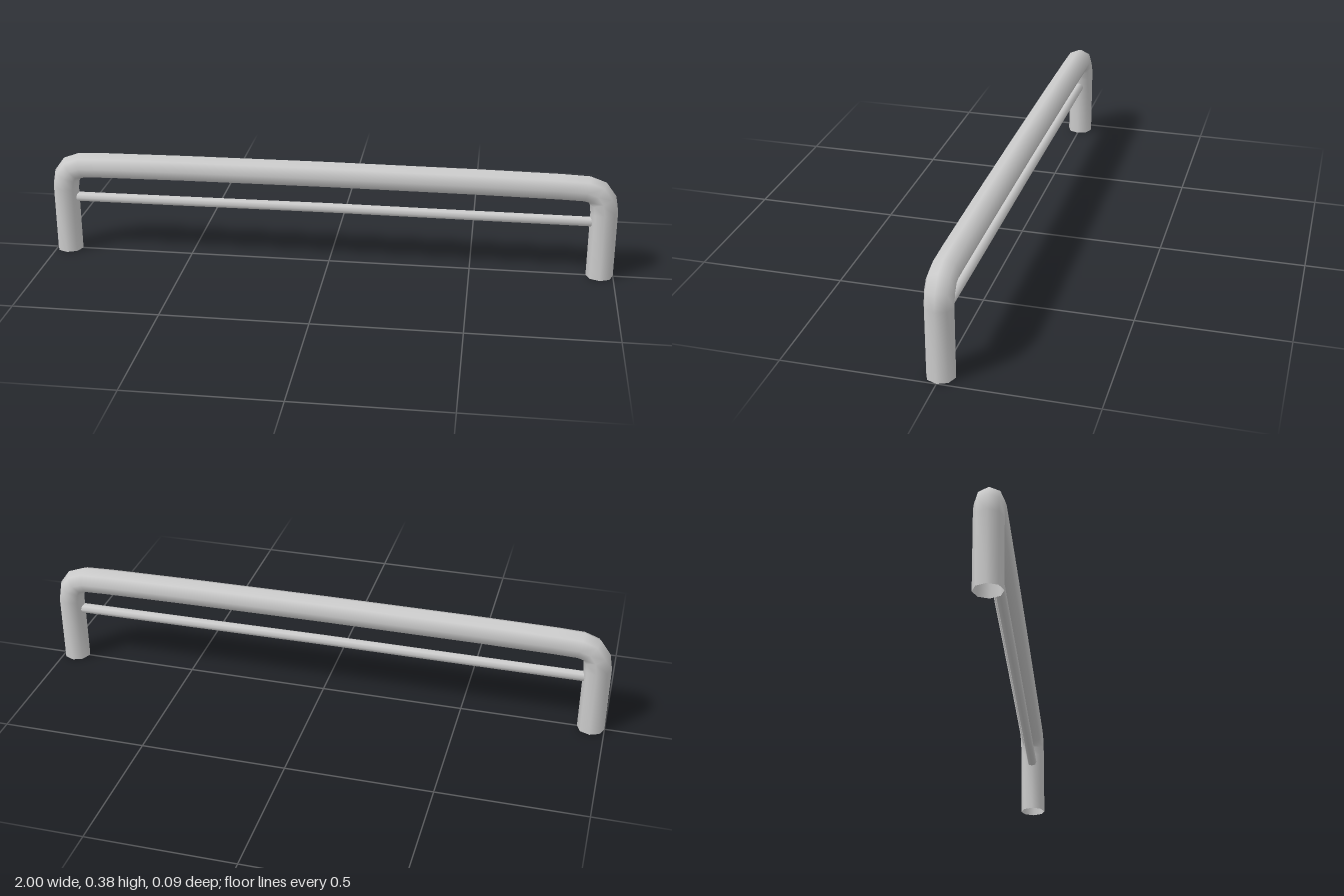
import * as THREE from 'three';

const material = new THREE.MeshStandardMaterial({ color: 0xcccccc, side: THREE.DoubleSide });
const SIDES = 8;

// Sweep an octagonal section along a path lying in the xy plane, open at both ends
function sweep(path, radius) {
  const positions = [], index = [];
  path.forEach((p, i) => {
    const dirIn = p.clone().sub(path[Math.max(i - 1, 0)]).normalize();
    const dirOut = path[Math.min(i + 1, path.length - 1)].clone().sub(p).normalize();
    const t = dirIn.add(dirOut).normalize();
    for (let j = 0; j < SIDES; j++) {
      const a = (j / SIDES) * Math.PI * 2;
      const r = radius * Math.cos(a);
      positions.push(p.x - t.y * r, p.y + t.x * r, radius * Math.sin(a));
      if (i < path.length - 1) {
        const k = (j + 1) % SIDES, row = i * SIDES, next = row + SIDES;
        index.push(row + j, row + k, next + j, row + k, next + k, next + j);
      }
    }
  });
  const geometry = new THREE.BufferGeometry();
  geometry.setAttribute('position', new THREE.Float32BufferAttribute(positions, 3));
  geometry.setIndex(index);
  geometry.computeVertexNormals();
  return geometry;
}

// Mirror the left half of a path (ending at x = 0) to run from right to left
function mirroredPath(half) {
  const left = half.map(([x, y]) => new THREE.Vector2(x, y));
  const right = left.slice(0, -1).map((p) => new THREE.Vector2(-p.x, p.y));
  return [...right, ...left.reverse()];
}

function addPart(group, name, half, radius) {
  const mesh = new THREE.Mesh(sweep(mirroredPath(half), radius), material);
  mesh.name = name;
  group.add(mesh);
}

export function createModel() {
  const model = new THREE.Group();
  model.name = 'railing';

  // Legs, tight bends and slightly bowed top bar in one continuous tube
  addPart(model, 'mainTube', [
    [0.953, 0], [0.953, 0.24], [0.946, 0.282], [0.926, 0.31], [0.89, 0.322],
    [0.8, 0.325], [0.52, 0.328], [0, 0.33],
  ], 0.047);

  // Thin lower rail set into the legs
  addPart(model, 'lowerRail', [[0.93, 0.202], [0.52, 0.203], [0, 0.205]], 0.018);

  return model;
}
